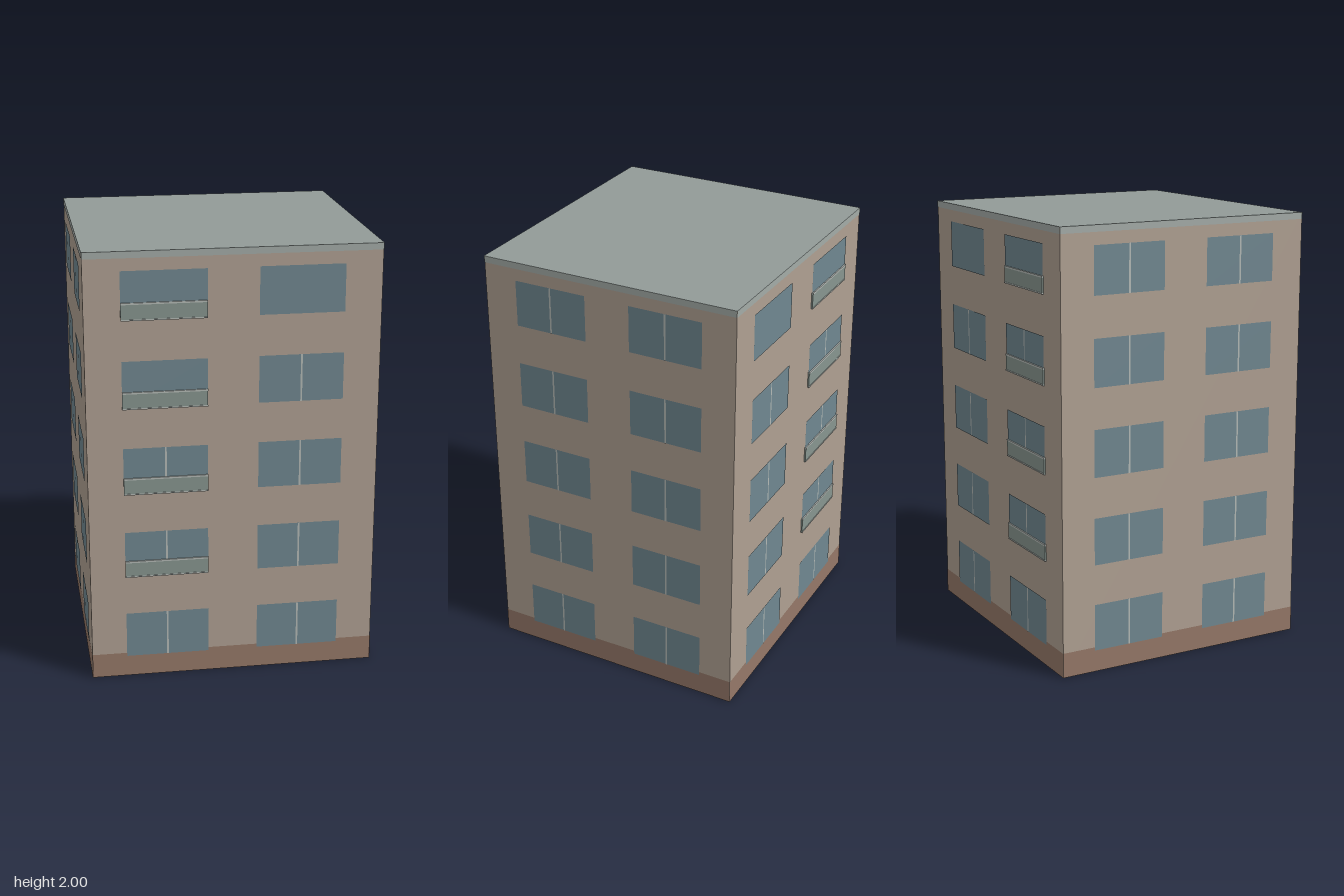
import * as THREE from 'three';

const W = 1.307, D = 1.226, H = 2, FLOORS = 5, STOREY = 0.4;
const WIN_H = 0.215, SILL = 0.1;

const mat = (color) => new THREE.MeshStandardMaterial({ color, side: THREE.DoubleSide });

export function createModel() {
  const model = new THREE.Group();
  model.name = 'apartmentBlock';
  const wallMat = mat(0xafa092), plinthMat = mat(0x957868), trimMat = mat(0xa3aba7);
  const glassMat = mat(0x708790), roofMat = mat(0x929b98), panelMat = mat(0x87958f), railMat = mat(0xb4bab6);

  // Flat panel centred on u, with its lower edge at y, lying z in front of the wall
  const panel = (parent, name, material, w, h, u, y, z) => {
    const m = new THREE.Mesh(new THREE.PlaneGeometry(w, h), material);
    m.position.set(u, y + h / 2, z);
    m.name = name;
    parent.add(m);
  };
  // Thin slab standing out from the wall by depth
  const slab = (parent, name, material, w, h, u, y, depth) => {
    const m = new THREE.Mesh(new THREE.BoxGeometry(w, h, depth), material);
    m.position.set(u, y + h / 2, depth / 2);
    m.name = name;
    parent.add(m);
  };

  // One side of the building; columns describe its stacks of windows
  const facade = (name, width, distance, angle, winW, columns) => {
    const g = new THREE.Group();
    g.name = name;
    g.rotation.y = angle;
    g.position.set(Math.sin(angle) * distance, 0, Math.cos(angle) * distance);
    panel(g, 'wall', wallMat, width, H, 0, 0, 0);
    panel(g, 'plinth', plinthMat, width, 0.115, 0, 0, 0.0015);
    panel(g, 'roofTrim', trimMat, width, 0.03, 0, H - 0.03, 0.0015);
    for (const { u, mullions, balcony } of columns) {
      for (let f = 0; f < FLOORS; f++) {
        const y = SILL + f * STOREY;
        panel(g, 'window', glassMat, winW, WIN_H, u, y, 0.003);
        if (f < mullions) panel(g, 'mullion', railMat, 0.008, WIN_H, u, y, 0.0045);
        if (balcony && f > 0) {
          slab(g, 'balconyPanel', panelMat, winW, 0.07, u, y, 0.007);
          slab(g, 'balconyFloor', railMat, winW, 0.006, u, y - 0.003, 0.009);
          slab(g, 'balconyRail', railMat, winW, 0.008, u, y + 0.068, 0.009);
        }
      }
    }
    model.add(g);
  };

  // Long sides: one plain stack and one with shallow balconies
  facade('frontFacade', W, D / 2, 0, 0.378, [
    { u: -0.305, mullions: 3, balcony: true }, { u: 0.3, mullions: 4 }]);
  facade('backFacade', W, D / 2, Math.PI, 0.378, [
    { u: 0.305, mullions: 4, balcony: true }, { u: -0.3, mullions: 4 }]);

  // Short sides: two plain stacks
  for (const s of [1, -1]) {
    facade(s > 0 ? 'leftFacade' : 'rightFacade', D, W / 2, s * Math.PI / 2, 0.348,
      [-0.2815, 0.2815].map((u) => ({ u, mullions: 5 })));
  }

  // Flat roof; the underside is open
  const roof = new THREE.Mesh(new THREE.PlaneGeometry(W + 0.003, D + 0.003), roofMat);
  roof.rotation.x = -Math.PI / 2;
  roof.position.y = H;
  roof.name = 'roof';
  model.add(roof);

  // The block stands at a slight angle to the axes
  model.rotation.y = -0.137;
  const root = new THREE.Group();
  root.name = 'building';
  root.add(model);
  return root;
}
